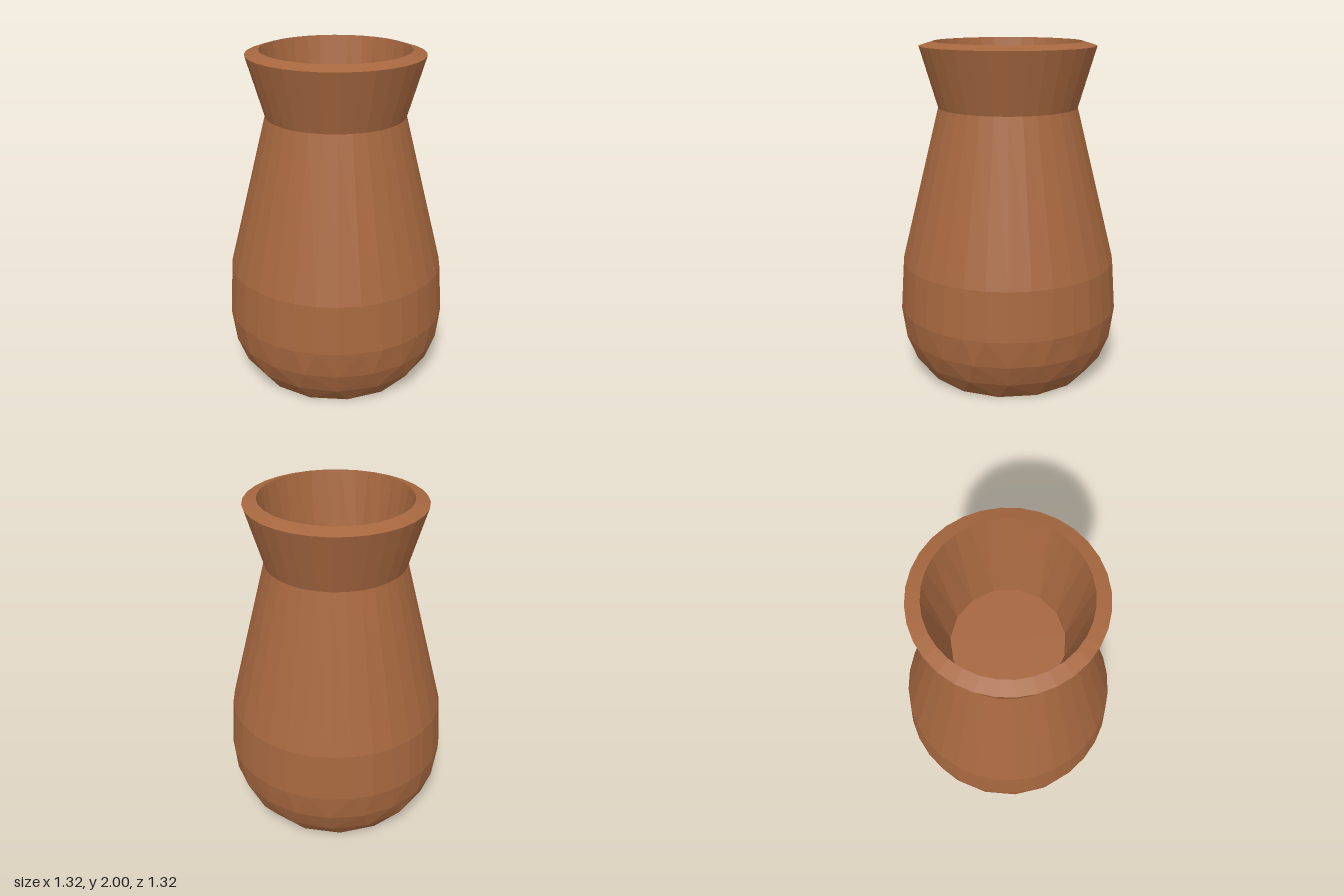
import * as THREE from 'three';

// Rings are [radius, y, sides, turn]; turn is a fraction of one side.
const rim = [0.435, 2, 32, 0];
const lip = [0.515, 1.975, 32, 0];
const waist = [0.41, 1.62, 32, 0];
const belly = [0.66, 0.41, 32, 0];
const foot = [0.5, 0, 14, 0.5];
const throat = [0.325, 1.4, 15, 0.3];

const angle = (ring, i) => ((i + ring[3]) / ring[2]) * Math.PI * 2;
const point = (ring, i) => [
  ring[0] * Math.sin(angle(ring, i)), ring[1], ring[0] * Math.cos(angle(ring, i)),
];

// Joins two rings that may have different numbers of sides.
function stitch(out, a, b) {
  let i = 0, j = 0;
  while (i < a[2] || j < b[2]) {
    const stepA = j >= b[2] || (i < a[2] && angle(a, i + 1) <= angle(b, j + 1));
    if (stepA) {
      if (a[0] > 0) out.push(...point(a, i), ...point(a, i + 1), ...point(b, j));
      i++;
    } else {
      if (b[0] > 0) out.push(...point(a, i), ...point(b, j + 1), ...point(b, j));
      j++;
    }
  }
}

// Faceted surface through a run of rings, outer faces going up, inner faces going down.
function shell(name, rings, material) {
  const out = [];
  for (let k = 0; k + 1 < rings.length; k++) stitch(out, rings[k], rings[k + 1]);
  const geometry = new THREE.BufferGeometry();
  geometry.setAttribute('position', new THREE.Float32BufferAttribute(out, 3));
  geometry.computeVertexNormals();
  const mesh = new THREE.Mesh(geometry, material);
  mesh.name = name;
  return mesh;
}

export function createModel() {
  const clay = new THREE.MeshStandardMaterial({ color: 0xa6673f });
  clay.name = 'terracotta';
  const group = new THREE.Group();
  group.name = 'vase';
  group.add(
    // Flat underside
    shell('base', [[0, 0, 1, 0], foot], clay),
    // Rough rounded bottom with fewer sides
    shell('lowerBody', [foot, [0.592, 0.12, 16, 0], [0.642, 0.25, 20, 0.5], belly], clay),
    // Smooth taper from the belly to the waist
    shell('upperBody', [belly, [0.64, 0.7, 32, 0], waist], clay),
    // Flared neck and sloping lip
    shell('neck', [waist, lip], clay),
    shell('rim', [lip, rim], clay),
    // Funnel-shaped inside with a flat floor
    shell('innerWall', [rim, throat], clay),
    shell('innerFloor', [throat, [0, 1.4, 1, 0]], clay),
  );
  return group;
}
